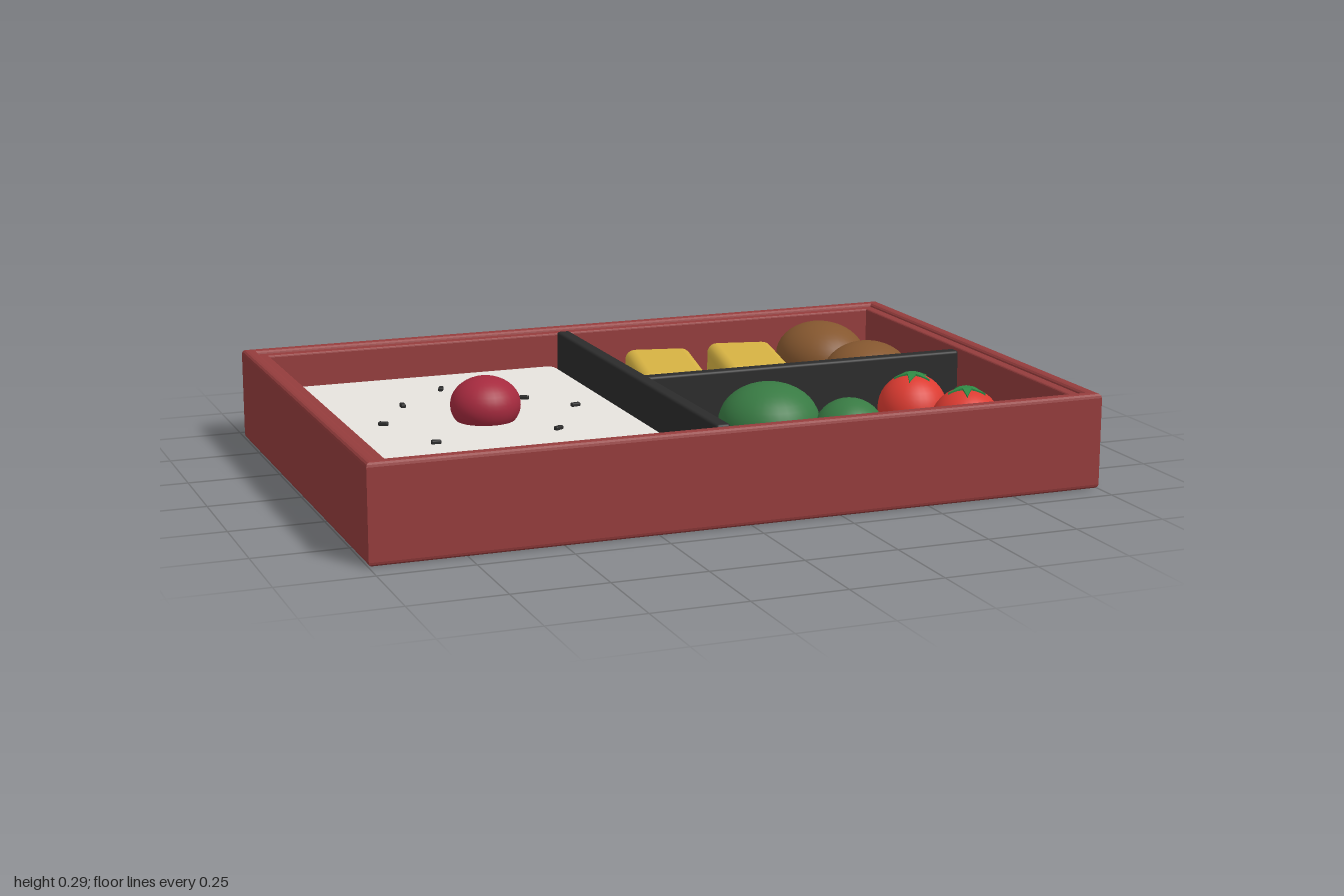
import * as THREE from 'three';
import { RoundedBoxGeometry } from 'three/addons/geometries/RoundedBoxGeometry.js';

const mat = (name, color) => {
  const m = new THREE.MeshStandardMaterial({ color });
  m.name = name;
  return m;
};

export function createModel() {
  const root = new THREE.Group();
  root.name = 'lunchBox';
  const red = mat('lacquer red', 0x943c3c);
  const floorGrey = mat('lining grey', 0x3c3c3c);
  const dark = mat('divider black', 0x2b2b2b);
  const white = mat('rice white', 0xe6e3de);
  const plumRed = mat('plum red', 0xa52a3e);
  const yellow = mat('egg yellow', 0xd6b243);
  const brown = mat('fried brown', 0x85572f);
  const green = mat('broccoli green', 0x387a43);
  const tomatoRed = mat('tomato red', 0xdc3b31);
  const leaf = mat('leaf green', 0x2f8a45);

  const add = (name, geometry, material, x, y, z, parent = root) => {
    const m = new THREE.Mesh(geometry, material);
    m.name = name;
    m.position.set(x, y, z);
    parent.add(m);
    return m;
  };
  const block = (name, w, h, d, r, material, x, y, z) =>
    add(name, new RoundedBoxGeometry(w, h, d, 3, r), material, x, y, z);
  const blob = (name, rx, ry, rz, material, x, y, z, parent) => {
    const m = add(name, new THREE.SphereGeometry(1, 32, 20), material, x, y, z, parent);
    m.scale.set(rx, ry, rz);
    return m;
  };

  // Rectangular bevelled wall ring, given its outer and inner half sizes
  const rect = (Target, w, d) => new Target([
    new THREE.Vector2(-w, -d), new THREE.Vector2(w, -d),
    new THREE.Vector2(w, d), new THREE.Vector2(-w, d)]);
  const ring = (name, ow, od, iw, id, bottom, top, bevel) => {
    const shape = rect(THREE.Shape, ow - bevel, od - bevel);
    shape.holes.push(rect(THREE.Path, iw + bevel, id + bevel));
    const g = new THREE.ExtrudeGeometry(shape, {
      depth: top - bottom - 2 * bevel, bevelThickness: bevel, bevelSize: bevel, bevelSegments: 3,
    });
    g.rotateX(-Math.PI / 2);
    add(name, g, red, 0, bottom + bevel, 0);
  };

  // Box: walls, inner ledge, base and lining
  ring('outerWall', 1, 0.682, 0.962, 0.645, 0, 0.26, 0.012);
  ring('innerLedge', 0.97, 0.652, 0.935, 0.618, 0.01, 0.25, 0.006);
  add('base', new THREE.BoxGeometry(1.95, 0.04, 1.31), red, 0, 0.02, 0);
  add('floorLining', new THREE.BoxGeometry(1.88, 0.03, 1.245), floorGrey, 0, 0.05, 0);

  // Dividers
  block('longDivider', 0.04, 0.2, 1.236, 0.008, dark, -0.055, 0.155, 0);
  block('shortDivider', 0.96, 0.185, 0.036, 0.008, dark, 0.443, 0.155, 0);

  // Rice with a pickled plum and sesame
  block('rice', 0.815, 0.11, 1.18, 0.04, white, -0.49, 0.112, 0);
  blob('pickledPlum', 0.095, 0.077, 0.095, plumRed, -0.49, 0.208, 0);
  const seeds = [
    [-0.505, -0.37, 1.2], [-0.66, -0.215, 1.5], [-0.32, -0.185, -0.6], [-0.765, -0.03, -0.5],
    [-0.215, -0.055, 0.2], [-0.69, 0.21, -0.1], [-0.345, 0.18, 0.5], [-0.48, 0.39, -1.2],
  ];
  for (const [x, z, turn] of seeds) {
    block('sesameSeed', 0.027, 0.012, 0.014, 0.004, dark, x, 0.171, z).rotation.y = turn;
  }

  // Rolled egg slices
  for (const x of [0.155, 0.415]) {
    block('rolledEgg', 0.195, 0.147, 0.36, 0.03, yellow, x, 0.138, -0.32).rotation.y = -0.22;
  }

  // Fried chicken pieces
  blob('friedChicken', 0.126, 0.103, 0.147, brown, 0.68, 0.168, -0.395).rotation.y = 0.2;
  blob('friedChicken', 0.128, 0.1, 0.13, brown, 0.71, 0.16, -0.14);

  // Broccoli heads
  blob('broccoliHead', 0.135, 0.105, 0.135, green, 0.18, 0.185, 0.365);
  blob('broccoliHead', 0.095, 0.09, 0.095, green, 0.365, 0.165, 0.47);

  // Cherry tomatoes with star-shaped leaves draped over the top
  const star = new THREE.Shape(Array.from({ length: 10 }, (_, i) => {
    const r = i % 2 ? 0.02 : 0.052, a = i * Math.PI / 5;
    return new THREE.Vector2(r * Math.cos(a), r * Math.sin(a));
  }));
  const starGeo = new THREE.ExtrudeGeometry(star, { depth: 0.008, bevelEnabled: false });
  starGeo.rotateX(-Math.PI / 2);
  const p = starGeo.attributes.position;
  for (let i = 0; i < p.count; i++) {
    const r2 = p.getX(i) ** 2 + p.getZ(i) ** 2;
    p.setY(i, p.getY(i) + Math.sqrt(0.095 ** 2 - r2) - 0.002);
  }
  starGeo.computeVertexNormals();
  for (const [x, z, turn] of [[0.655, 0.26, 0.3], [0.71, 0.47, 0.5]]) {
    const tomato = new THREE.Group();
    tomato.name = 'cherryTomato';
    tomato.position.set(x, 0.158, z);
    blob('tomatoFruit', 0.095, 0.095, 0.095, tomatoRed, 0, 0, 0, tomato);
    add('tomatoLeaf', starGeo, leaf, 0, 0, 0, tomato).rotation.y = turn;
    root.add(tomato);
  }

  return root;
}
